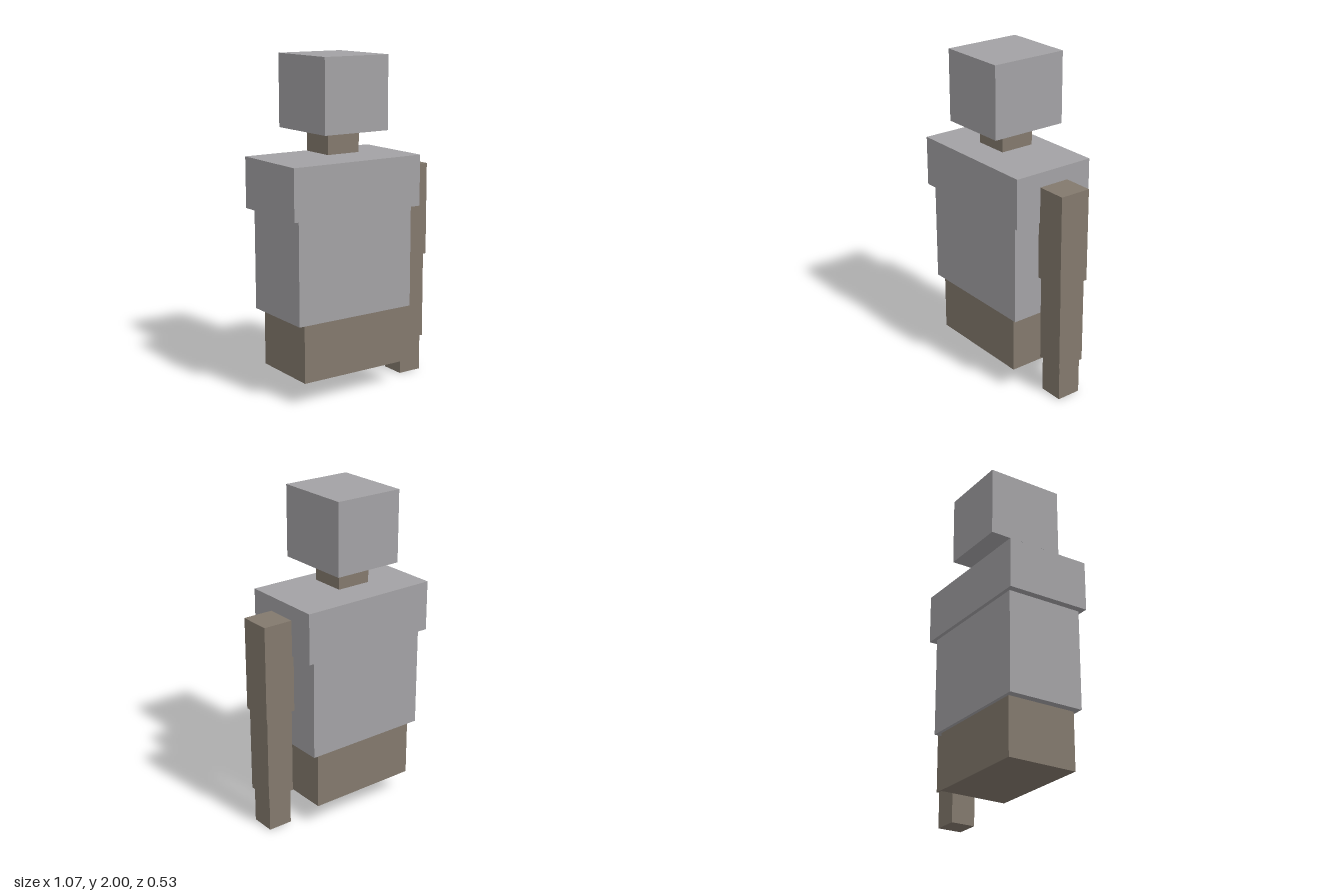
import * as THREE from 'three';

export function createModel() {
  const model = new THREE.Group();
  model.name = 'blockFigure';

  const grey = new THREE.MeshStandardMaterial({ color: 0xa3a2a5 });
  grey.name = 'stoneGrey';
  const brown = new THREE.MeshStandardMaterial({ color: 0x83796d });
  brown.name = 'taupeBrown';

  // Box given by its x range, y range and depth, centred on z = 0
  function block(name, material, x0, x1, y0, y1, depth, parent = model) {
    const mesh = new THREE.Mesh(new THREE.BoxGeometry(x1 - x0, y1 - y0, depth), material);
    mesh.name = name;
    mesh.position.set((x0 + x1) / 2, (y0 + y1) / 2, 0);
    parent.add(mesh);
  }

  // Head and neck
  block('head', grey, -0.313, 0.123, 1.566, 2, 0.482);
  block('neck', brown, -0.205, 0.012, 1.433, 1.566, 0.217);

  // Body
  block('chest', grey, -0.534, 0.345, 1.102, 1.408, 0.528);
  block('torso', grey, -0.491, 0.298, 0.489, 1.102, 0.482);
  block('pelvis', brown, -0.444, 0.255, 0.138, 0.489, 0.44);

  // Left arm, narrowing towards the hand
  const arm = new THREE.Group();
  arm.name = 'leftArm';
  model.add(arm);
  block('upperArm', brown, 0.334, 0.531, 0.753, 1.32, 0.197, arm);
  block('forearm', brown, 0.345, 0.52, 0.223, 0.753, 0.175, arm);
  block('hand', brown, 0.356, 0.509, 0, 0.223, 0.153, arm);

  return model;
}
